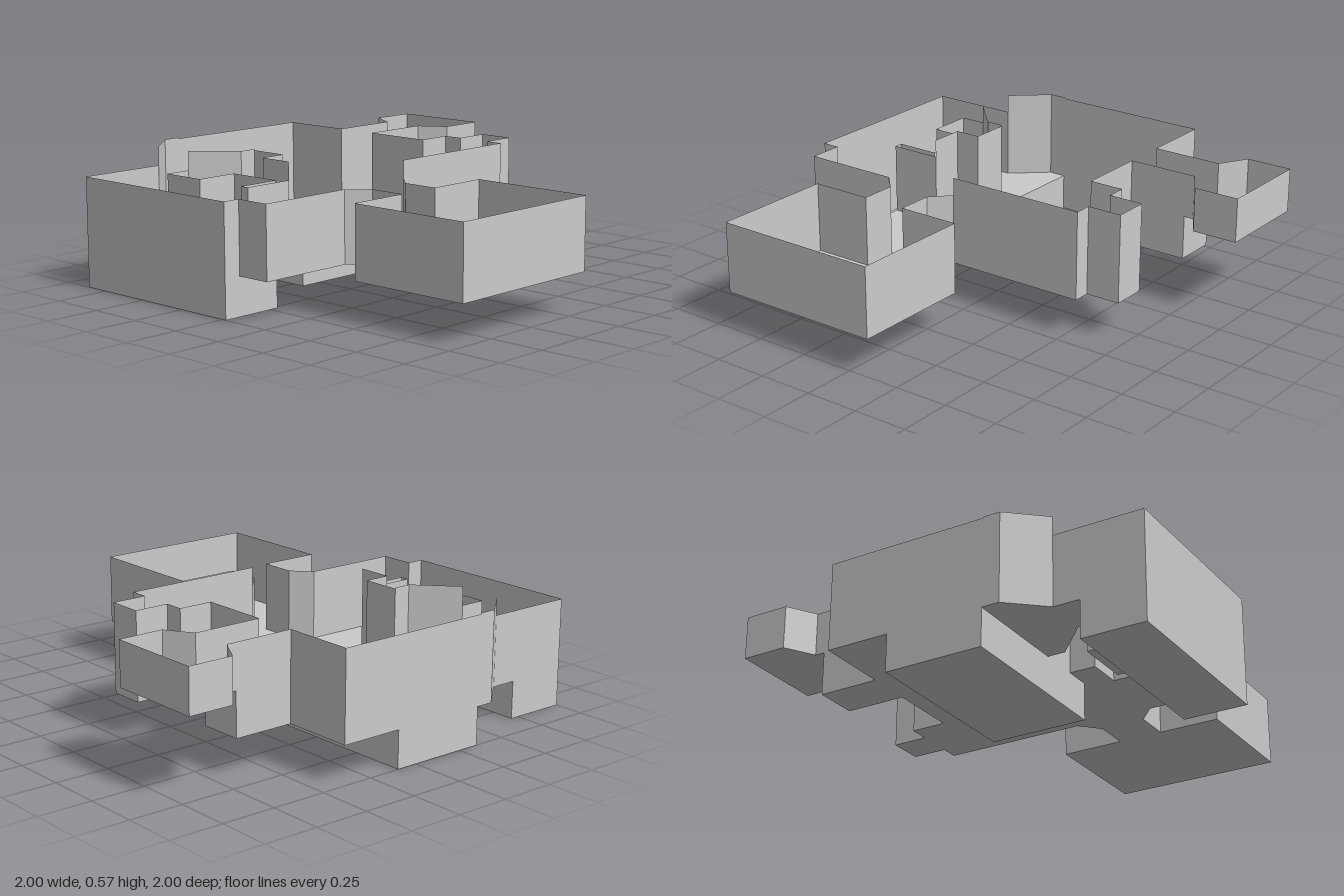
import * as THREE from 'three';

const LOW = 0.17;    // main floor level
const SIDE = 0.49;   // wall top of the side rooms
const HIGH = 0.57;   // wall top of the great hall and east rooms

const material = new THREE.MeshStandardMaterial({
  color: 0xcccccc, flatShading: true, side: THREE.DoubleSide,
});

// Flat floor from an outline of [x, z] corners
function floor(name, y, outline) {
  const shape = new THREE.Shape(outline.map(([x, z]) => new THREE.Vector2(x, z)));
  const geo = new THREE.ShapeGeometry(shape).rotateX(Math.PI / 2).translate(0, y, 0);
  const mesh = new THREE.Mesh(geo, material);
  mesh.name = name;
  return mesh;
}

const rect = (x0, x1, z0, z1) => [[x0, z0], [x1, z0], [x1, z1], [x0, z1]];

// Thin upright wall following a path of [x, z] points
function wall(name, y0, y1, path) {
  const pos = [];
  for (let i = 0; i < path.length - 1; i++) {
    const [ax, az] = path[i], [bx, bz] = path[i + 1];
    pos.push(ax, y0, az, bx, y0, bz, bx, y1, bz, ax, y0, az, bx, y1, bz, ax, y1, az);
  }
  const geo = new THREE.BufferGeometry();
  geo.setAttribute('position', new THREE.Float32BufferAttribute(pos, 3));
  geo.computeVertexNormals();
  const mesh = new THREE.Mesh(geo, material);
  mesh.name = name;
  return mesh;
}

function room(name, ...parts) {
  const group = new THREE.Group();
  group.name = name;
  group.add(...parts);
  return group;
}

const closed = (path) => [...path, path[0]];

export function createModel() {
  const model = new THREE.Group();
  model.name = 'rooflessBuilding';

  // Sunken long room on the west side, with risers up to the main floor
  const west = rect(-1, -0.71, -0.86, 0.02);
  model.add(room('westRoom',
    floor('westFloor', 0, west),
    wall('westRisers', 0, LOW, closed(west)),
    wall('westOuterWall', LOW, SIDE, [[-0.71, -0.86], [-1, -0.86], [-1, 0.02], [-0.92, 0.02]]),
    wall('westInnerWall', LOW, SIDE, [[-0.71, -0.66], [-0.71, -0.45]]),
    wall('westPier', LOW, SIDE, [[-0.71, -0.19], [-0.71, -0.15]])));

  // Small alcove opening off the west room
  model.add(room('westAlcove',
    floor('alcoveFloor', LOW, rect(-0.71, -0.51, -0.45, -0.19)),
    wall('alcoveWall', LOW, SIDE,
      [[-0.71, -0.45], [-0.51, -0.45], [-0.51, -0.19], [-0.71, -0.19]])));

  // Passage that flares into the great hall
  model.add(room('flaredPassage',
    floor('passageFloor', LOW, [[-0.71, -0.86], [-0.59, -0.86], [-0.43, -1], [-0.35, -1],
      [-0.35, -0.49], [-0.43, -0.49], [-0.59, -0.66], [-0.71, -0.66]]),
    wall('passageBackWall', LOW, SIDE, [[-0.71, -0.86], [-0.59, -0.86]]),
    wall('passageFrontWall', LOW, SIDE, [[-0.71, -0.66], [-0.59, -0.66]]),
    wall('flareBackWall', LOW, 0.575, [[-0.59, -0.86], [-0.43, -1], [-0.35, -1]]),
    wall('flareFrontWall', LOW, 0.575, [[-0.59, -0.66], [-0.43, -0.49], [-0.35, -0.49]])));

  // Great hall with a sunken pit
  const pit = rect(-0.35, 0.10, -1, -0.19);
  model.add(room('greatHall',
    floor('pitFloor', 0, pit),
    wall('pitRisers', 0, LOW, closed(pit)),
    floor('hallFloor', LOW, [[0.10, -1], [0.39, -1], [0.39, -0.15], [-0.47, -0.15],
      [-0.47, -0.31], [-0.35, -0.31], [-0.35, -0.19], [0.10, -0.19]]),
    wall('hallBackWall', LOW, HIGH, [[-0.35, -1], [0.39, -1], [0.39, -0.67]]),
    wall('hallWestWall', LOW, HIGH,
      [[-0.35, -0.49], [-0.35, -0.31], [-0.47, -0.31], [-0.47, -0.15]])));

  // Cross corridor running west to east, ending in an eastern niche
  model.add(room('crossCorridor',
    floor('corridorFloor', LOW, [[-0.71, -0.15], [0.55, -0.15], [0.55, -0.06], [0.71, -0.06],
      [0.71, 0.10], [0.55, 0.10], [0.55, 0.18], [-0.92, 0.18], [-0.92, 0.02], [-0.71, 0.02]]),
    wall('corridorBackWall', LOW, SIDE, [[-0.71, -0.15], [-0.47, -0.15]]),
    wall('corridorWestWall', LOW, SIDE, [[-0.92, 0.02], [-0.92, 0.18], [-0.47, 0.18]]),
    wall('corridorEastWall', LOW, HIGH, [[0.39, -0.47], [0.39, -0.15], [0.55, -0.15],
      [0.55, -0.06], [0.71, -0.06], [0.71, 0.10], [0.55, 0.10], [0.55, 0.18], [-0.105, 0.18]])));

  // Front room reached through a tapered neck
  model.add(room('frontRoom',
    floor('frontFloor', LOW, [[-0.47, 0.18], [-0.105, 0.18], [-0.185, 0.265], [-0.185, 0.43],
      [0.10, 0.43], [0.10, 1], [-0.67, 1], [-0.67, 0.43], [-0.39, 0.43], [-0.39, 0.265]]),
    wall('frontWall', LOW, SIDE, [[-0.47, 0.18], [-0.39, 0.265], [-0.39, 0.43], [-0.67, 0.43],
      [-0.67, 1], [0.10, 1], [0.10, 0.43], [-0.185, 0.43], [-0.185, 0.265], [-0.105, 0.18]])));

  // East passage stepping up to the raised east room
  const RAISED = 0.37;
  model.add(room('eastPassage',
    floor('eastPassageFloor', LOW, rect(0.39, 0.67, -0.67, -0.47)),
    wall('eastPassageBackWall', LOW, HIGH, [[0.39, -0.67], [0.67, -0.67]]),
    wall('eastPassageFrontWall', LOW, HIGH, [[0.39, -0.47], [0.67, -0.47]]),
    wall('eastStep', LOW, RAISED, [[0.67, -0.67], [0.67, -0.47]])));
  const east = [[0.67, -0.67], [0.715, -0.67], [0.79, -0.80], [1, -0.80],
    [1, -0.35], [0.79, -0.35], [0.715, -0.47], [0.67, -0.47]];
  model.add(room('eastRoom',
    floor('eastFloor', RAISED, east),
    wall('eastWall', RAISED, HIGH, east)));

  return model;
}
